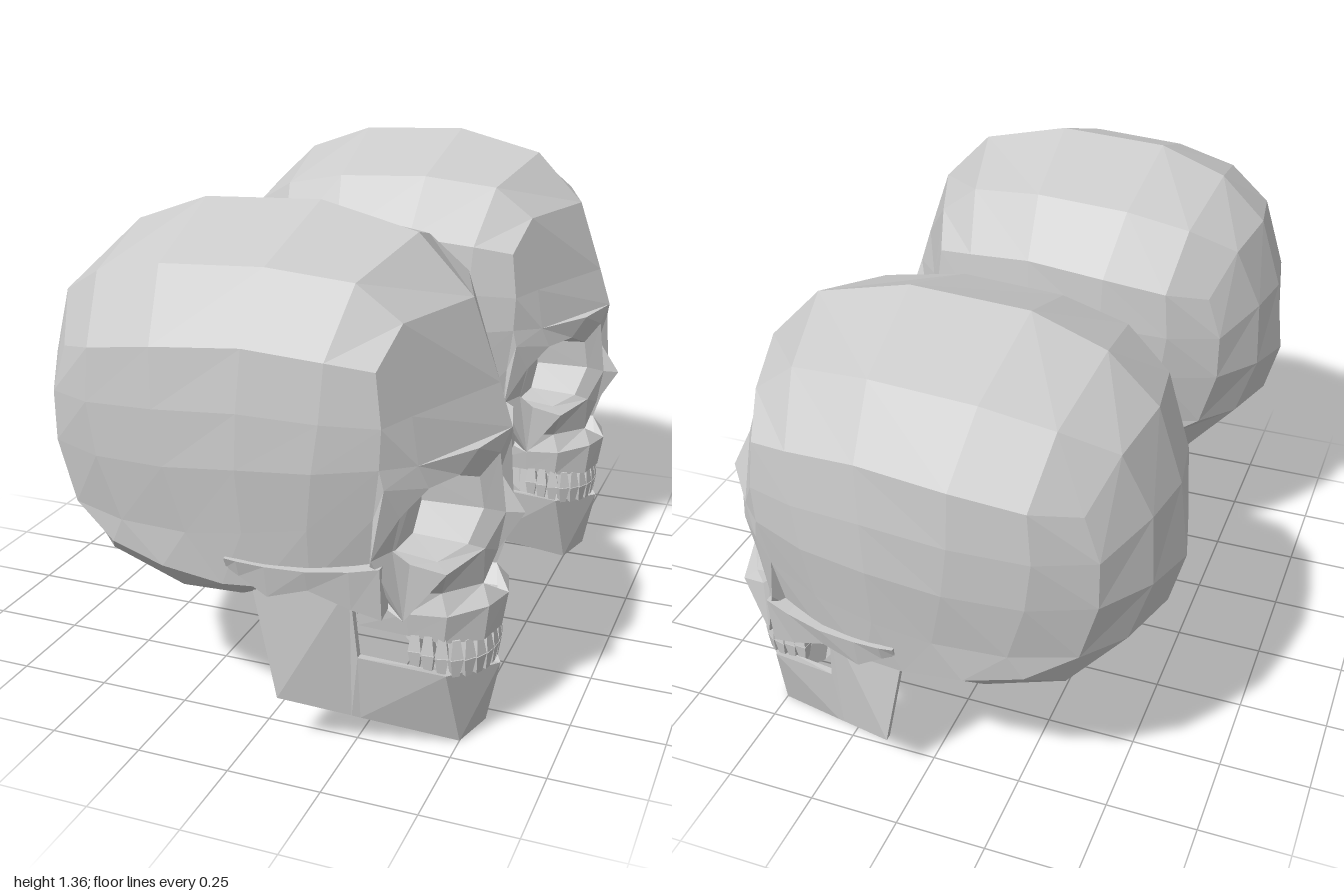
import * as THREE from 'three';

const bone = new THREE.MeshStandardMaterial({ color: 0xcccccc, flatShading: true, side: THREE.DoubleSide });

// Points are [forward x, up y, sideways w]; every surface is mirrored across w = 0.
// Each face is { p: corners, ref: point, sign: 1 faces away from ref, -1 towards it }.
function surface(name, faces) {
  const pos = [];
  for (const side of [1, -1]) {
    for (const { p, ref, sign = 1 } of faces) {
      const v = p.map(([x, y, w]) => new THREE.Vector3(x, y, w * side));
      const r = new THREE.Vector3(ref[0], ref[1], ref[2] * side);
      for (let i = 1; i < v.length - 1; i++) {
        const t = [v[0], v[i], v[i + 1]];
        const n = t[1].clone().sub(t[0]).cross(t[2].clone().sub(t[0]));
        const mid = t[0].clone().add(t[1]).add(t[2]).divideScalar(3).sub(r);
        if (n.dot(mid) * sign < 0) t.reverse();
        t.forEach((q) => pos.push(q.x, q.y, q.z));
      }
    }
  }
  const g = new THREE.BufferGeometry();
  g.setAttribute('position', new THREE.Float32BufferAttribute(pos, 3));
  g.computeVertexNormals();
  const mesh = new THREE.Mesh(g, bone);
  mesh.name = name;
  return mesh;
}

const average = (pts) => [0, 1, 2].map((k) => pts.reduce((s, p) => s + p[k], 0) / pts.length);

// Quads between two rows of points
function band(a, b, ref, sign = 1, closed = false) {
  const faces = [];
  for (let i = 0; i < a.length - (closed ? 0 : 1); i++) {
    const j = (i + 1) % a.length;
    faces.push({ p: [a[i], a[j], b[j], b[i]], ref, sign });
  }
  return faces;
}

// Solid bar through closed cross-sections, with capped ends
function bar(sections) {
  const faces = [];
  for (let i = 0; i < sections.length - 1; i++) {
    faces.push(...band(sections[i], sections[i + 1], average([...sections[i], ...sections[i + 1]]), 1, true));
  }
  const last = sections.length - 1;
  faces.push({ p: sections[0], ref: average(sections[1]) }, { p: sections[last], ref: average(sections[last - 1]) });
  return faces;
}

// Rows of points filling the outline between four edges, bulging sideways
function patch(top, bottom, front, back, bulge) {
  const lerp = THREE.MathUtils.lerp;
  return front.map((f, r) => top.map((t, c) => {
    const u = c / (top.length - 1), v = r / (front.length - 1);
    return [0, 1, 2].map((k) => lerp(t[k], bottom[c][k], v) + lerp(f[k], back[r][k], u)
      - lerp(lerp(top[0][k], top.at(-1)[k], u), lerp(bottom[0][k], bottom.at(-1)[k], u), v)
      + (k === 2 ? bulge * Math.sin(Math.PI * u) * Math.sin(Math.PI * v) : 0));
  }));
}

const templeTop = [.37, .83, .35], templeHollow = [.35, .7, .335], templeBase = [.33, .55, .31];
const baseFront = [.3, .46, .2];

// Braincase: profile on the middle plane, two rings stepping outwards, then a side panel
function cranium() {
  const ridge = [[.585, .84], [.55, .95], [.48, 1.155], [.34, 1.3], [.09, 1.36], [-.22, 1.345], [-.41, 1.275],
    [-.54, 1.15], [-.605, .95], [-.63, .74], [-.59, .59], [-.445, .43], [-.23, .35], [-.08, .365],
    [.03, .41], [.14, .43], [.25, .45]].map(([x, y]) => [x, y, 0]);
  const inner = [[.44, .825, .28], [.42, .94, .27], [.39, 1.15, .25], [.28, 1.235, .26], [.07, 1.26, .29],
    [-.2, 1.245, .29], [-.38, 1.205, .27], [-.51, 1.13, .2], [-.58, .95, .16], [-.59, .76, .165], [-.54, .6, .19],
    [-.4, .46, .24], [-.19, .4, .26], [-.03, .4, .25], [.06, .43, .24], [.17, .45, .22], baseFront];
  const outer = [templeTop, [.375, .93, .35], [.36, 1.06, .345], [.25, 1.08, .38], [.06, 1.1, .405],
    [-.17, 1.08, .41], [-.35, 1.05, .385], [-.46, 1.02, .31], [-.5, .9, .31], [-.5, .77, .31], [-.455, .61, .31],
    [-.33, .54, .355], [-.18, .51, .38], [-.02, .49, .38], [.08, .5, .38], [.2, .52, .36], templeBase];
  const pick = (...ids) => ids.map((i) => outer[i]);
  const panel = patch(pick(2, 3, 4, 5, 6, 7), pick(16, 15, 14, 13, 12, 11),
    [...pick(2, 1, 0), templeHollow, outer[16]], pick(7, 8, 9, 10, 11), .027);
  const ref = [0, .76, 0];
  return surface('cranium', [
    ...band(ridge, inner, ref),
    ...band(inner, outer, ref),
    ...panel.slice(1).flatMap((row, i) => band(panel[i], row, ref)),
  ]);
}

function face(group) {
  // Eye socket rim and the surrounding bone, matched point for point
  const rim = [[.53, .735, .085], [.51, .775, .18], [.46, .765, .26], [.405, .7, .305], [.385, .61, .3],
    [.42, .57, .275], [.47, .56, .22], [.515, .57, .12], [.54, .65, .075]];
  const around = [[.57, .79, .05], [.545, .835, .15], [.44, .825, .28], [.38, .78, .345], [.35, .6, .35],
    [.41, .425, .29], [.5, .54, .24], [.55, .55, .09], [.585, .63, .035]];
  const [glabella, brow, browEnd, temple, cheek, cheekTip, cheekLow, noseSide, noseBone] = around;
  const browMid = [.585, .84, 0], nasion = [.557, .72, 0], noseTip = [.625, .62, 0];
  const ref = [.2, .62, 0];
  const f = (...p) => ({ p, ref });

  // Nose opening
  const nose = [noseTip, [.57, .53, .045], [.54, .44, .06], [.555, .395, .025], [.56, .395, 0]];
  // Upper jaw rows from front to back
  const high = [nose[2], [.46, .44, .15], [.38, .44, .18], [.25, .44, .19]];
  const mid = [[.59, .395, 0], [.565, .395, .09], [.48, .385, .165], [.38, .38, .175], [.25, .38, .18]];
  const low = [[.575, .3, 0], [.555, .3, .09], [.47, .305, .155], [.38, .315, .165], [.25, .325, .175]];

  group.add(surface('faceBones', [
    ...band(rim, around, ref, 1, true),
    f(browMid, brow, glabella), f(browMid, browEnd, brow), f(browMid, glabella, nasion),
    f(browEnd, temple, templeTop),
    f(nasion, glabella, noseBone, noseTip), f(noseBone, noseTip, nose[1], noseSide),
    f(noseSide, nose[1], nose[2]), f(noseSide, nose[2], high[1], cheekLow),
    f(cheekLow, high[1], high[2], cheekTip), f(cheekTip, high[2], high[3], baseFront),
    f(cheekTip, cheek, templeBase, baseFront),
    f(temple, templeTop, templeHollow), f(temple, templeHollow, cheek), f(cheek, templeHollow, templeBase),
  ]));

  // Eye socket and nose cavity
  const eyeBack = rim.map(([x, y, w]) => [.36 + (x - .46) * .3, .665 + (y - .665) * .9, .19 + (w - .19) * .9]);
  const eyeRef = average(rim);
  group.add(surface('eyeSockets', [
    ...band(rim, eyeBack, average([...rim, ...eyeBack]), -1, true),
    { p: eyeBack, ref: eyeRef, sign: -1 },
  ]));
  const noseBack = nose.map(([, y, w]) => [.47, y, w * .9]);
  group.add(surface('noseCavity', [
    ...band(nose, noseBack, [.53, .48, 0], -1),
    { p: noseBack, ref: [.6, .48, 0], sign: -1 },
  ]));

  // Upper jaw block
  const jawRef = [.38, .38, 0];
  group.add(surface('upperJaw', [
    ...band(high, mid.slice(1), jawRef),
    ...band(mid, low, jawRef),
    ...band(low, low.map(([x, y]) => [x - .04, y, 0]), jawRef),
    { p: [nose[2], nose[3], nose[4], mid[0], mid[1]], ref: jawRef },
    { p: [high[3], mid[4], low[4], [.25, .325, 0], [.25, .45, 0]], ref: jawRef },
  ]));

  // Cheek arch running back to the ear: [x, top, bottom, outer w]
  const arch = [[.37, .58, .44, .345], [.3, .57, .465, .365], [.2, .565, .51, .39], [.1, .565, .48, .4],
    [.03, .57, .525, .405], [-.005, .57, .54, .4]];
  group.add(surface('cheekArches', bar(arch.map(([x, t, b, w]) =>
    [[x, t, w - .06], [x, t, w], [x, b, w - .015], [x, b + .01, w - .06]]))));
}

// Lower jaw: a thin plate of top and bottom edge points, chin to hinge
function lowerJaw() {
  const plate = [
    [[.575, .19, 0], [.54, .015, 0], [-.03, 0]],
    [[.48, .22, .165], [.5, 0, .1], [-.03, -.02]],
    [[.27, .265, .23], [.27, .082, .21], [0, -.02]],
    [[.255, .47, .245], [.25, .09, .22], [0, -.02]],
    [[.01, .5, .3], [.08, .15, .3], [0, -.02]],
  ];
  return surface('lowerJaw', bar(plate.map(([t, b, [dx, dw]]) => {
    const inset = ([x, y, w]) => [x + dx, y, w + dw];
    return [t, b, inset(b), inset(t)];
  })));
}

// Two rows of teeth, widest at the bite, following the dental arch
function teeth() {
  const group = new THREE.Group();
  group.name = 'teeth';
  const path = new THREE.CatmullRomCurve3([[.38, -.155], [.48, -.14], [.535, -.08], [.552, 0],
    [.535, .08], [.48, .14], [.38, .155]].map(([x, z]) => new THREE.Vector3(x, 0, z)));
  const count = 16;
  const upper = new THREE.CylinderGeometry(.014, .024, .05, 4).rotateY(Math.PI / 4);
  const lower = new THREE.CylinderGeometry(.024, .014, .05, 4).rotateY(Math.PI / 4);
  for (let i = 0; i < count; i++) {
    const u = (i + .5) / count;
    const p = path.getPointAt(u), t = path.getTangentAt(u);
    const bite = .25 + (.555 - p.x) * .16;
    for (const [geo, dy, name] of [[upper, .026, 'upperTooth'], [lower, -.026, 'lowerTooth']]) {
      const tooth = new THREE.Mesh(geo, bone);
      tooth.name = name;
      tooth.position.set(p.x, bite + dy, p.z);
      tooth.rotation.y = Math.atan2(-t.z, t.x);
      group.add(tooth);
    }
  }
  return group;
}

function skull(name, z) {
  const group = new THREE.Group();
  group.name = name;
  group.add(cranium());
  face(group);
  group.add(lowerJaw(), teeth());
  group.position.z = z;
  return group;
}

export function createModel() {
  const model = new THREE.Group();
  model.name = 'skullPair';
  model.add(skull('frontSkull', .57), skull('backSkull', -.57));
  return model;
}
